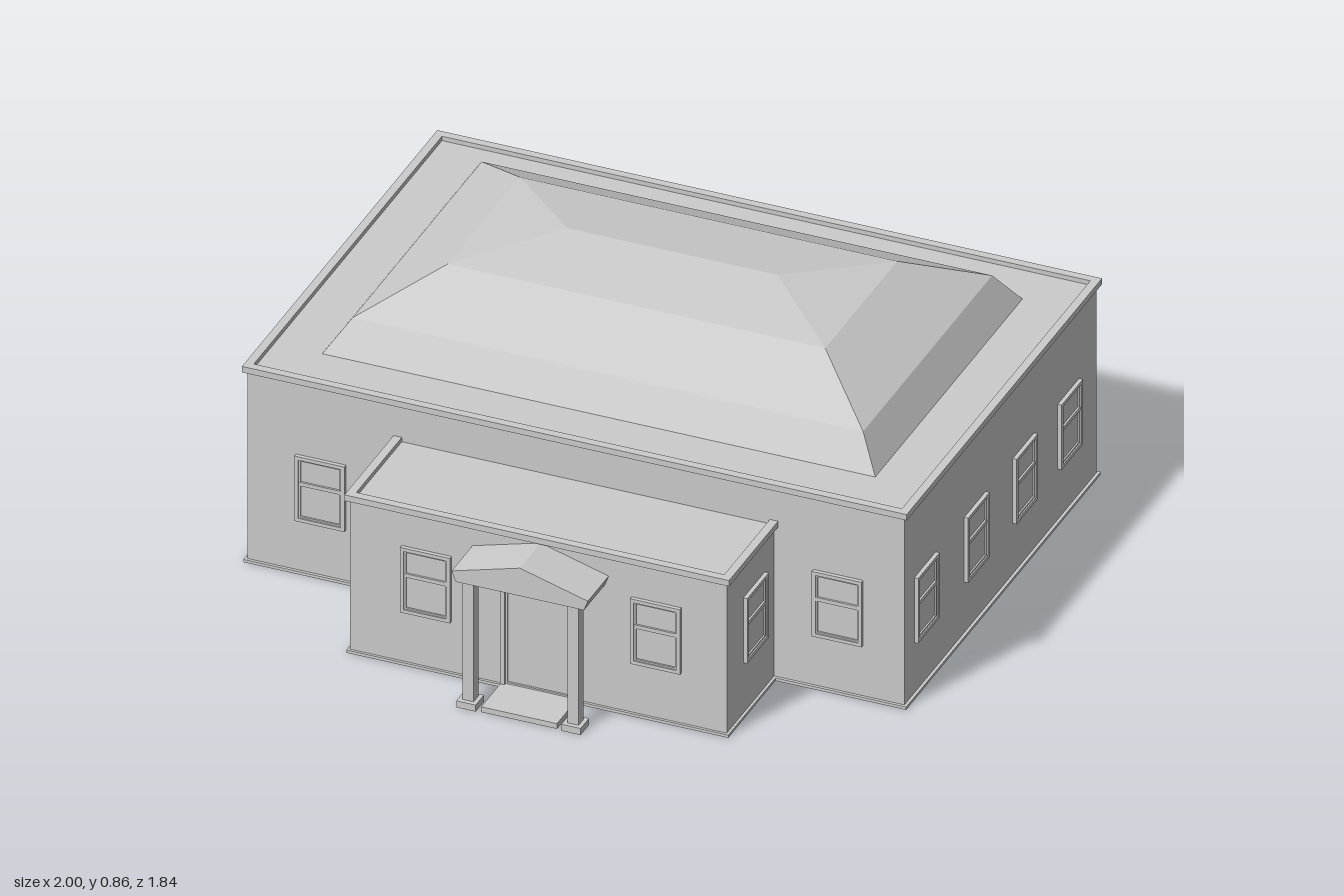
import * as THREE from 'three';

const mat = new THREE.MeshStandardMaterial({ color: 0xcccccc, flatShading: true });
const sheet = new THREE.MeshStandardMaterial({ color: 0xcccccc, flatShading: true, side: THREE.DoubleSide });

function add(parent, name, geo, material = mat) {
  const m = new THREE.Mesh(geo, material);
  m.name = name;
  parent.add(m);
  return m;
}

// Box given by its limits on each axis
function box(parent, name, x0, x1, y0, y1, z0, z1) {
  const m = add(parent, name, new THREE.BoxGeometry(x1 - x0, y1 - y0, z1 - z0));
  m.position.set((x0 + x1) / 2, (y0 + y1) / 2, (z0 + z1) / 2);
  return m;
}

// Rectangular rings joined bottom to top; the first side drawn is the front, the third the back
function loft(rings, skipBack = false) {
  const corners = ({ x0, x1, z0, z1, y }) => [[x0, y, z1], [x1, y, z1], [x1, y, z0], [x0, y, z0]];
  const pos = [];
  for (let i = 0; i < rings.length - 1; i++) {
    const a = corners(rings[i]), b = corners(rings[i + 1]);
    for (let s = 0; s < 4; s++) {
      if (skipBack && s === 2) continue;
      const t = (s + 1) % 4;
      pos.push(...a[s], ...a[t], ...b[t], ...a[s], ...b[t], ...b[s]);
    }
  }
  const g = new THREE.BufferGeometry();
  g.setAttribute('position', new THREE.Float32BufferAttribute(pos, 3));
  g.computeVertexNormals();
  return g;
}

// Horizontal band running round a rectangle, w wide inwards
function band(parent, name, { x0, x1, z0, z1 }, w, y0, y1, openBack = false) {
  const g = new THREE.Group();
  g.name = name;
  parent.add(g);
  const zb = openBack ? z0 : z0 + w;
  box(g, name + 'Front', x0, x1, y0, y1, z1 - w, z1);
  box(g, name + 'Left', x1 - w, x1, y0, y1, zb, z1 - w);
  box(g, name + 'Right', x0, x0 + w, y0, y1, zb, z1 - w);
  if (!openBack) box(g, name + 'Back', x0, x1, y0, y1, z0, z0 + w);
}

const grow = (r, d) => ({ x0: r.x0 - d, x1: r.x1 + d, z0: r.z0 - d, z1: r.z1 + d });

function rectPath(path, x0, x1, y0, y1) {
  path.moveTo(x0, y0);
  path.lineTo(x1, y0);
  path.lineTo(x1, y1);
  path.lineTo(x0, y1);
  path.closePath();
  return path;
}

// Flat roof deck, optionally with an opening
function deck(parent, name, r, y, hole) {
  const s = rectPath(new THREE.Shape(), r.x0, r.x1, -r.z1, -r.z0);
  if (hole) s.holes.push(rectPath(new THREE.Path(), hole.x0, hole.x1, -hole.z1, -hole.z0));
  const m = add(parent, name, new THREE.ShapeGeometry(s).rotateX(-Math.PI / 2), sheet);
  m.position.y = y;
}

// Rectangular frame standing in the xy plane
function frameGeo(w, h, t, depth) {
  const s = rectPath(new THREE.Shape(), -w / 2, w / 2, -h / 2, h / 2);
  s.holes.push(rectPath(new THREE.Path(), -w / 2 + t, w / 2 - t, -h / 2 + t, h / 2 - t));
  return new THREE.ExtrudeGeometry(s, { depth, bevelEnabled: false });
}

const outerFrame = frameGeo(0.15, 0.21, 0.011, 0.012);
const upperSash = frameGeo(0.128, 0.084, 0.005, 0.008);
const lowerSash = frameGeo(0.128, 0.112, 0.005, 0.008);
const glass = new THREE.PlaneGeometry(0.128, 0.188);

// Two-sash window on a wall; angle turns it to face outwards
function windowAt(parent, x, z, angle) {
  const g = new THREE.Group();
  g.name = 'window';
  add(g, 'windowFrame', outerFrame);
  add(g, 'upperSash', upperSash).position.y = 0.052;
  add(g, 'lowerSash', lowerSash).position.y = -0.038;
  box(g, 'meetingRail', -0.064, 0.064, 0.01, 0.022, 0, 0.009);
  add(g, 'windowGlass', glass).position.z = 0.003;
  g.position.set(x, 0.277, z);
  g.rotation.y = angle;
  parent.add(g);
}

export function createModel() {
  const model = new THREE.Group();
  model.name = 'building';

  // Main hall: open-bottomed walls, plinth, cornice
  const hall = { x0: -0.988, x1: 0.988, z0: -0.911, z1: 0.434 };
  add(model, 'hallWalls', loft([{ ...hall, y: 0 }, { ...hall, y: 0.62 }]), sheet);
  band(model, 'hallPlinth', grow(hall, 0.009), 0.009, 0, 0.009);
  band(model, 'hallCornice', grow(hall, 0.012), 0.025, 0.615, 0.634);

  // Hipped, domed roof in three slopes, ending in a ridge
  const rings = [[0.516, 0.62], [0.452, 0.716], [0.252, 0.826], [0, 0.862]].map(([h, y]) => ({
    x0: -h - 0.316, x1: h + 0.316, z0: -0.241 - h, z1: -0.241 + h, y }));
  deck(model, 'hallRoofDeck', hall, 0.62, rings[0]);
  add(model, 'domedRoof', loft(rings), sheet);

  // Front wing, reaching back into the hall
  const wing = { x0: -0.537, x1: 0.596, z0: -0.01, z1: 0.766 };
  add(model, 'wingWalls', loft([{ ...wing, y: 0 }, { ...wing, y: 0.498 }], true), sheet);
  deck(model, 'wingRoofDeck', wing, 0.498);
  band(model, 'wingPlinth', grow(wing, 0.008), 0.008, 0, 0.009, true);
  band(model, 'wingCornice', grow(wing, 0.012), 0.025, 0.493, 0.512, true);

  // Windows
  for (const x of [-0.767, 0.789]) windowAt(model, x, hall.z1, 0);
  for (const x of [0.82, 0.495, 0.21, -0.11, -0.45, -0.795]) windowAt(model, x, hall.z0, Math.PI);
  for (const x of [-0.307, 0.385]) windowAt(model, x, wing.z1, 0);
  for (const z of [0.29, -0.06, -0.4, -0.715]) {
    windowAt(model, hall.x1, z, Math.PI / 2);
    windowAt(model, hall.x0, z, -Math.PI / 2);
  }
  windowAt(model, wing.x1, 0.575, Math.PI / 2);
  windowAt(model, wing.x0, 0.575, -Math.PI / 2);

  // Porch, centred on the wing
  const porch = new THREE.Group();
  porch.name = 'porch';
  porch.position.x = 0.036;
  model.add(porch);
  const gable = new THREE.Shape();
  [[-0.193, 0.4], [0.193, 0.4], [0.205, 0.432], [0, 0.49], [-0.205, 0.432]].forEach(([x, y], i) =>
    i ? gable.lineTo(x, y) : gable.moveTo(x, y));
  gable.closePath();
  add(porch, 'porchRoof', new THREE.ExtrudeGeometry(gable, { depth: 0.146, bevelEnabled: false }))
    .position.z = 0.766;
  for (const s of [-1, 1]) {
    const cx = s * 0.158;
    box(porch, 'column', cx - 0.017, cx + 0.017, 0.02, 0.402, 0.873, 0.907);
    box(porch, 'columnBase', cx - 0.029, cx + 0.029, 0, 0.021, 0.862, 0.921);
  }
  box(porch, 'doorStep', -0.114, 0.114, 0, 0.017, 0.766, 0.917);

  // Door with a stepped surround
  add(porch, 'doorSurround', frameGeo(0.23, 0.36, 0.014, 0.018)).position.set(0, 0.182, 0.766);
  add(porch, 'doorInnerFrame', frameGeo(0.206, 0.334, 0.007, 0.01)).position.set(0, 0.182, 0.766);
  box(porch, 'doorLeaf', -0.098, 0.098, 0.017, 0.344, 0.764, 0.77);

  return model;
}
